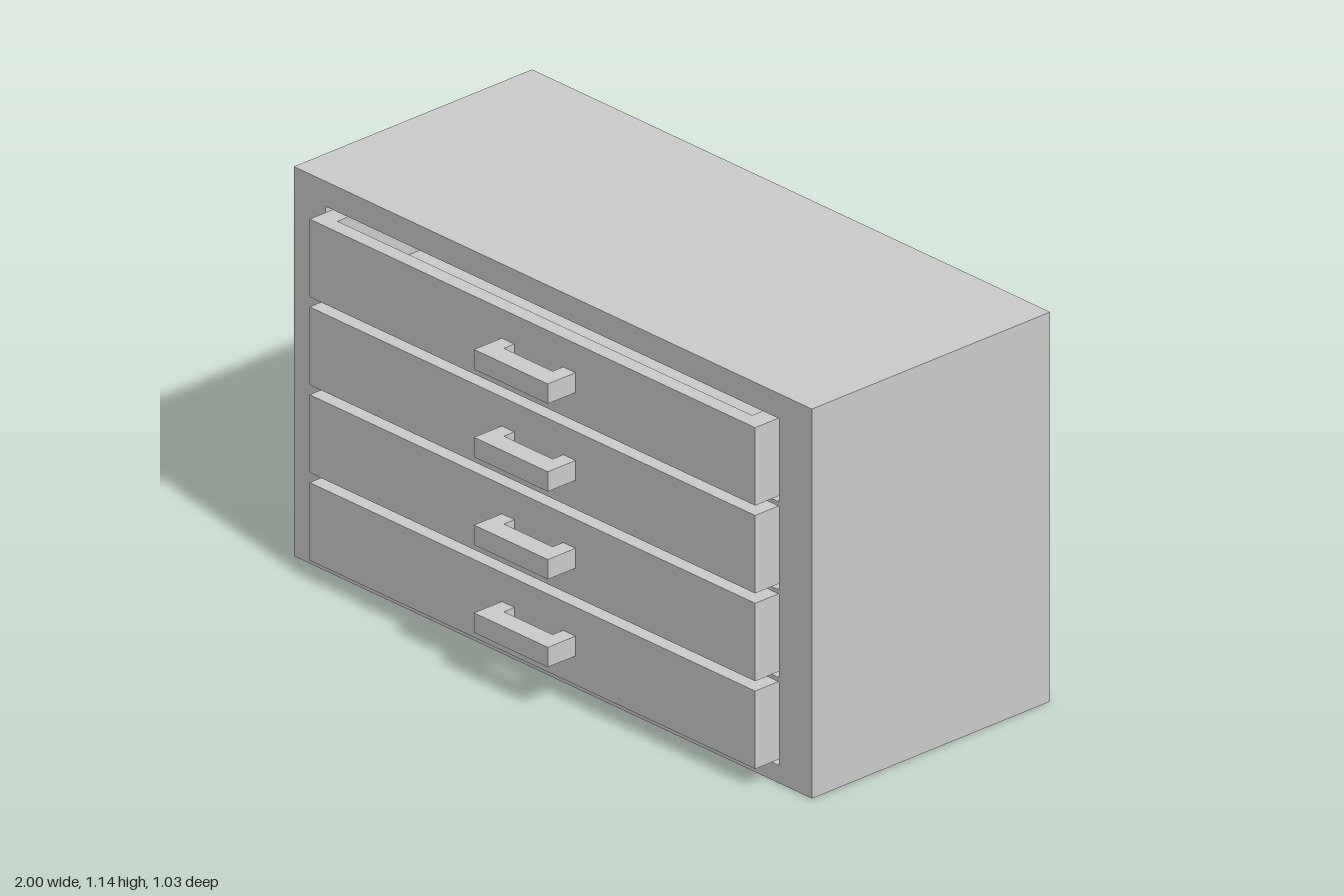
import * as THREE from 'three';

const mat = new THREE.MeshStandardMaterial({ color: 0xcccccc, flatShading: true });

// Closed outline from corner points
const outline = (pts, Type = THREE.Shape) => new Type(pts.map(([x, y]) => new THREE.Vector2(x, y)));
const rect = (x0, y0, x1, y1, Type) => outline([[x0, y0], [x1, y0], [x1, y1], [x0, y1]], Type);

function add(parent, geometry, name) {
  const mesh = new THREE.Mesh(geometry, mat);
  mesh.name = name;
  parent.add(mesh);
  return mesh;
}

// Extrude a plan drawn as (x, z) upward from y0 to y1
function extrudeUp(shape, y0, y1) {
  return new THREE.ExtrudeGeometry(shape, { depth: y1 - y0, bevelEnabled: false })
    .rotateX(-Math.PI / 2).translate(0, y0, 0);
}

const HEIGHT = 1.14, BACK = -0.515, FRONT = 0.343, CAVITY_BACK = -0.45;
const rows = [0, 1, 2, 3].map((i) => 0.174 + i * 0.257);

function makeDrawer() {
  const drawer = new THREE.Group();
  const half = 0.114, back = -0.38, front = 0.415;

  // Tray walls, open at the top (plan uses -z as its second axis)
  const walls = rect(-0.862, -front, 0.858, -back);
  walls.holes.push(rect(-0.802, -0.37, 0.798, -back - 0.045, THREE.Path));
  add(drawer, extrudeUp(walls, -half, half), 'drawerWalls');

  // Tray floor
  const floor = new THREE.BoxGeometry(1.6, 0.045, 0.705);
  add(drawer, floor, 'drawerFloor').position.set(-0.002, -half + 0.0225, 0.0175);

  // U-shaped pull handle
  const pull = outline([
    [-0.12, -front], [-0.12, -0.515], [0.165, -0.515], [0.165, -front],
    [0.117, -front], [0.117, -0.453], [-0.071, -0.453], [-0.071, -front],
  ]);
  add(drawer, extrudeUp(pull, -0.029, 0.029), 'handle');
  return drawer;
}

export function createModel() {
  const model = new THREE.Group();
  model.name = 'drawerCabinet';

  // Cabinet body with one opening per drawer
  const face = rect(-1, 0, 1, HEIGHT);
  for (const y of rows) face.holes.push(rect(-0.877, y - 0.122, 0.872, y + 0.122, THREE.Path));
  const body = new THREE.ExtrudeGeometry(face, { depth: FRONT - CAVITY_BACK, bevelEnabled: false });
  add(model, body, 'cabinetBody').position.z = CAVITY_BACK;

  // Back panel closing the openings
  const panel = new THREE.BoxGeometry(2, HEIGHT, CAVITY_BACK - BACK);
  add(model, panel, 'backPanel').position.set(0, HEIGHT / 2, (BACK + CAVITY_BACK) / 2);

  // Four slightly open drawers
  rows.forEach((y, i) => {
    const drawer = makeDrawer();
    drawer.name = `drawer${i + 1}`;
    drawer.position.y = y;
    model.add(drawer);
  });
  return model;
}
